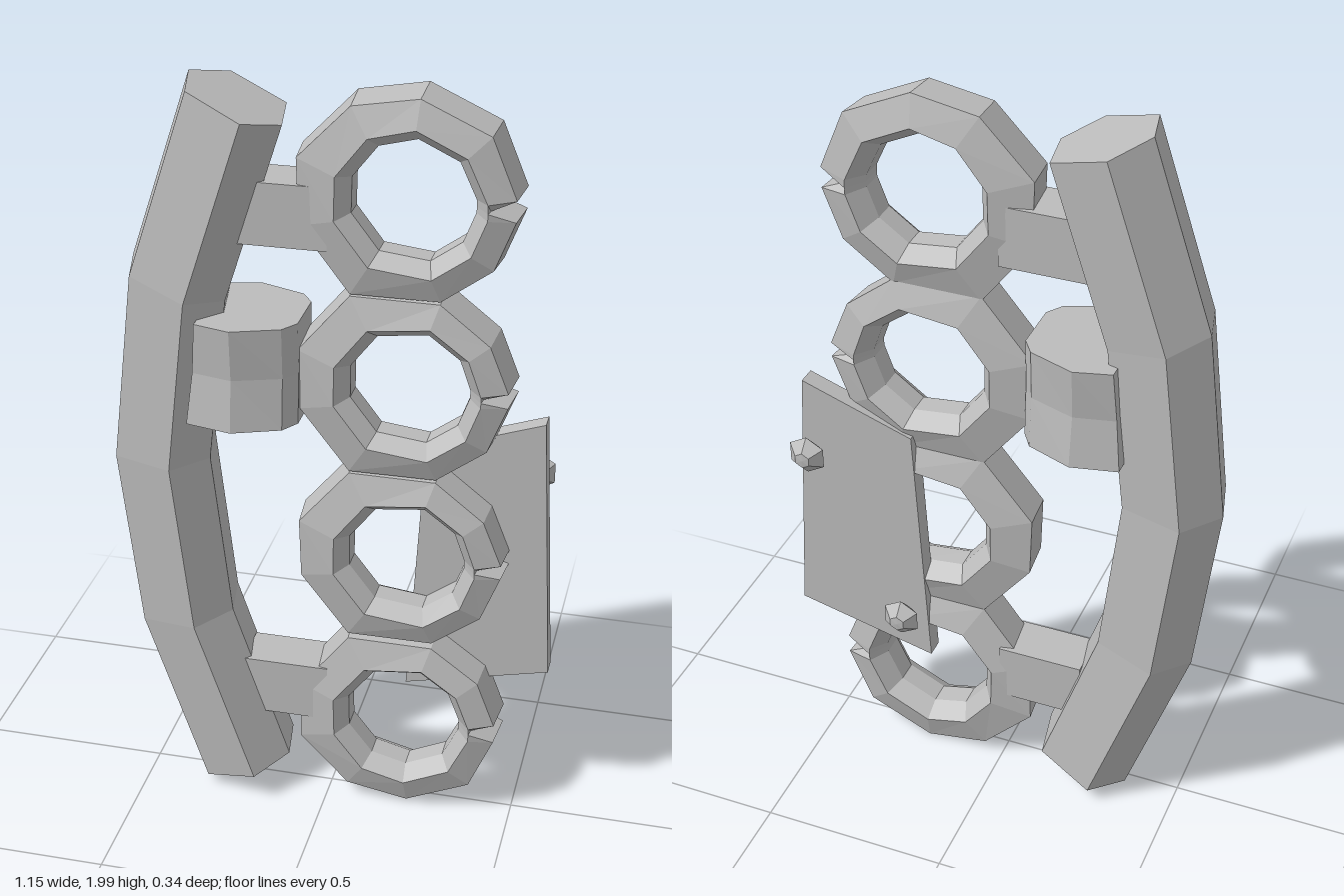
import * as THREE from 'three';

const steel = new THREE.MeshStandardMaterial({ color: 0xbcbcbc, flatShading: true });
steel.name = 'light grey steel';

// Skin a row of equal-length cross-sections; loop joins last to first, otherwise the ends are capped.
function loft(sections, loop) {
  const n = sections[0].length, m = sections.length;
  const pos = [];
  const tri = (a, b, c) => pos.push(...a, ...b, ...c);
  for (let i = 0; i < (loop ? m : m - 1); i++) {
    const s = sections[i], t = sections[(i + 1) % m];
    for (let j = 0; j < n; j++) {
      const k = (j + 1) % n;
      tri(s[j], t[j], t[k]);
      tri(s[j], t[k], s[k]);
    }
  }
  if (!loop) {
    const s = sections[0], t = sections[m - 1];
    for (let j = 1; j < n - 1; j++) {
      tri(s[0], s[j], s[j + 1]);
      tri(t[0], t[j + 1], t[j]);
    }
  }
  const g = new THREE.BufferGeometry();
  g.setAttribute('position', new THREE.Float32BufferAttribute(pos, 3));
  g.computeVertexNormals();
  return g;
}

// Outer outlines of the finger rings, anticlockwise, starting with the notch.
const END_OUTLINE = [[0.26, -0.025], [0.2, 0], [0.26, 0.03], [0.195, 0.185], [0.02, 0.265], [-0.15, 0.235],
  [-0.285, 0.095], [-0.28, -0.08], [-0.15, -0.25], [0.08, -0.25], [0.21, -0.155]];
const MID_OUTLINE = [[0.26, -0.02], [0.2, 0], [0.26, 0.02], [0.21, 0.145], [0.08, 0.247], [-0.15, 0.247],
  [-0.285, 0.085], [-0.28, -0.08], [-0.15, -0.247], [0.08, -0.247], [0.21, -0.15]];

// Each ring bulges from a thin outer rim to a crest round the hole, then slopes inward
function ringGeometry(outline) {
  return loft(outline.map(([x, y]) => {
    const r = Math.hypot(x, y), ux = x / r, uy = y / r;
    const profile = [[r, -0.055], [r - 0.01, 0.052], [0.187, 0.075], [0.153, 0.03],
      [0.153, -0.03], [0.187, -0.08]];
    return profile.map(([d, z]) => [ux * d, uy * d, z]);
  }), true);
}

export function createModel() {
  const model = new THREE.Group();
  model.name = 'fingerRingGrip';
  const add = (name, geometry, x = 0, y = 0, z = 0) => {
    const mesh = new THREE.Mesh(geometry, steel);
    mesh.name = name;
    mesh.position.set(x, y, z);
    model.add(mesh);
    return mesh;
  };

  // Four notched finger rings; the lowest mirrors the highest
  const flipped = END_OUTLINE.map(([x, y]) => [x, -y]).reverse();
  [[END_OUTLINE, 1.735], [MID_OUTLINE, 1.25], [MID_OUTLINE, 0.767], [flipped, 0.272]]
    .forEach(([outline, y], i) => add('fingerRing' + (i + 1), ringGeometry(outline), 0.2, y, 0));

  // Curved six-sided palm bar: outer and inner edge of each station, top to bottom
  const stations = [[-0.36, 1.99, -0.11, 1.9], [-0.52, 1.51, -0.26, 1.44], [-0.58, 1.0, -0.31, 1.0],
    [-0.525, 0.51, -0.26, 0.55], [-0.36, 0.02, -0.11, 0.11]];
  const section = [[0, -0.04], [0.12, 0.09], [0.7, 0.14], [1, 0.045], [0.9, -0.095], [0.3, -0.14]];
  add('palmBar', loft(stations.map(([x0, y0, x1, y1]) =>
    section.map(([t, z]) => [x0 + (x1 - x0) * t, y0 + (y1 - y0) * t, z])), false));

  // Struts between bar and end rings
  for (const [name, y] of [['upperStrut', 1.68], ['lowerStrut', 0.33]]) {
    add(name, new THREE.BoxGeometry(0.23, 0.16, 0.13), -0.115, y, -0.005);
  }

  // Faceted block with a slight waist, joining the bar to the second ring
  const half = [[-0.33, 0.135], [-0.22, 0.16], [-0.1, 0.115], [-0.07, 0.07]];
  const plan = [...half.map(([x, z]) => [x, -z]).slice(0, 1), ...half,
    ...half.map(([x, z]) => [x, -z]).slice(1).reverse()];
  const levels = [[1.41, 0.015, 0.98], [1.275, 0.005, 0.92], [1.14, -0.01, 1.03]];
  add('middleBlock', loft(levels.map(([y, shift, k]) =>
    plan.map(([x, z]) => [x < -0.3 ? x + shift : x, y, z * k])), false));

  // Side plate behind the rings
  const plate = [[0.195, 0.34], [0.575, 0.43], [0.535, 1.155], [0.235, 1.05]];
  const plateShape = new THREE.Shape(plate.map(([x, y]) => new THREE.Vector2(x, y)));
  add('sidePlate', new THREE.ExtrudeGeometry(plateShape, { depth: 0.05, bevelEnabled: false }), 0, 0, -0.084);

  // Faceted studs behind the plate
  const studProfile = [[0, -0.032], [0.022, -0.03], [0.054, 0], [0.022, 0.03], [0, 0.032]]
    .map(([r, h]) => new THREE.Vector2(r, h));
  for (const [name, x, y] of [['upperStud', 0.505, 0.967], ['lowerStud', 0.255, 0.497]]) {
    const stud = add(name, new THREE.LatheGeometry(studProfile, 6), x, y, -0.14);
    stud.rotation.x = Math.PI / 2;
  }

  return model;
}
